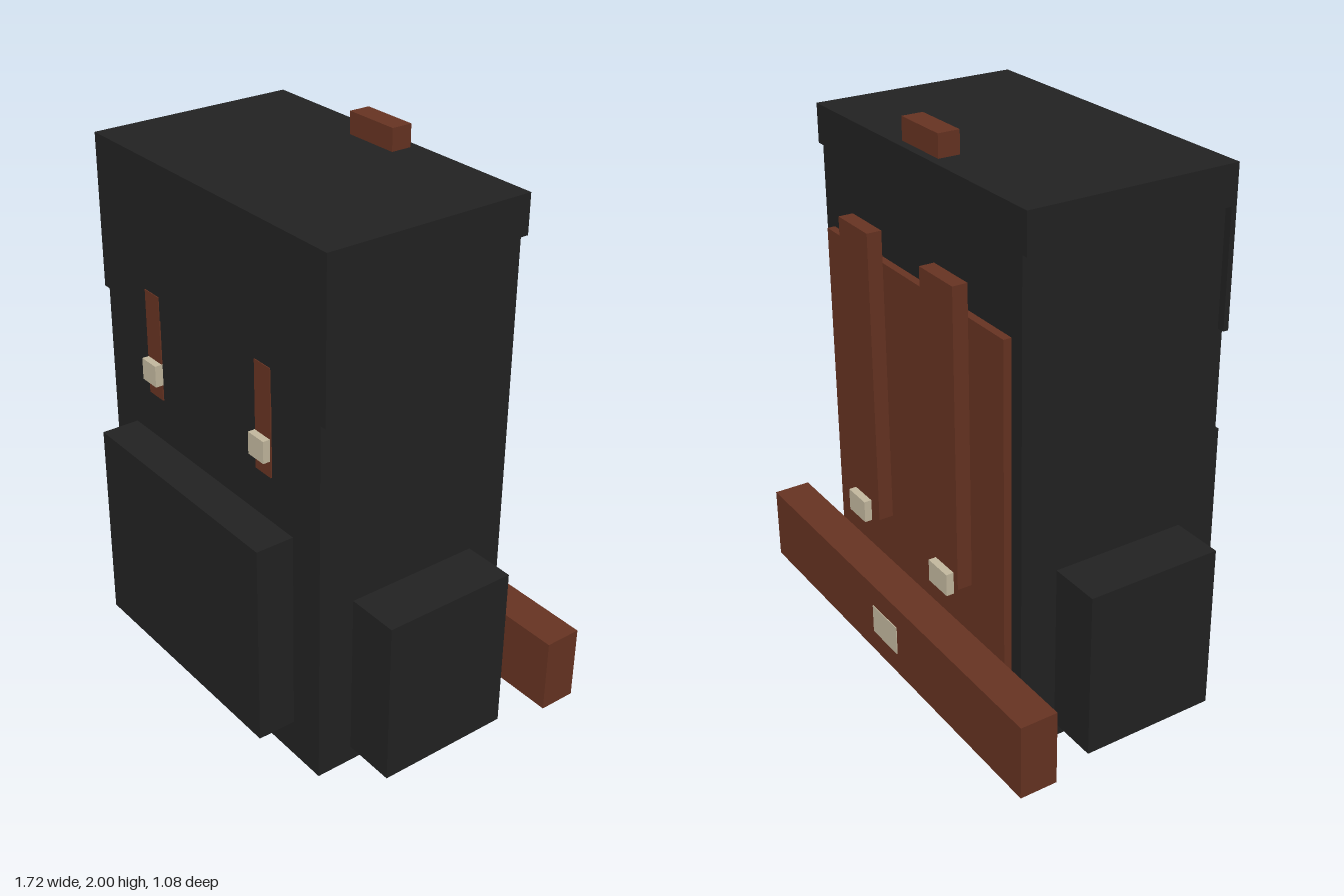
import * as THREE from 'three';

const fabric = new THREE.MeshStandardMaterial({ name: 'black fabric', color: 0x222222 });
const leather = new THREE.MeshStandardMaterial({ name: 'brown leather', color: 0x673322 });
const metal = new THREE.MeshStandardMaterial({ name: 'pale buckle', color: 0xc4b99f });

// Box given by its extents along each axis
function block(name, material, [x0, x1], [y0, y1], [z0, z1]) {
  const mesh = new THREE.Mesh(new THREE.BoxGeometry(x1 - x0, y1 - y0, z1 - z0), material);
  mesh.position.set((x0 + x1) / 2, (y0 + y1) / 2, (z0 + z1) / 2);
  mesh.name = name;
  return mesh;
}

export function createModel() {
  const pack = new THREE.Group();
  pack.name = 'backpack';
  const add = (...args) => pack.add(block(...args));

  // Left and right copies of a part
  const pair = (name, material, [x0, x1], y, z) => {
    add(name + 'Left', material, [x0, x1], y, z);
    add(name + 'Right', material, [-x1, -x0], y, z);
  };

  // Main bag with overhanging lid and front flap
  add('body', fabric, [-0.61, 0.61], [0, 1.78], [-0.373, 0.399]);
  add('lid', fabric, [-0.637, 0.637], [1.78, 1.92], [-0.376, 0.401]);
  add('frontFlap', fabric, [-0.637, 0.637], [1.36, 1.78], [0.381, 0.401]);

  // Pockets
  add('frontPocket', fabric, [-0.47, 0.47], [0.14, 0.89], [0.399, 0.54]);
  pair('sidePocket', fabric, [0.61, 0.803], [0.057, 0.667], [-0.237, 0.263]);

  // Flap closures
  pair('closureStrap', leather, [0.277, 0.36], [1.057, 1.447], [0.396, 0.404]);
  pair('closureBuckle', metal, [0.275, 0.357], [1.117, 1.197], [0.4, 0.43]);

  // Carry handle on the lid
  add('handle', leather, [-0.11, 0.11], [1.92, 2], [-0.345, -0.267]);

  // Padded back, shoulder straps and their buckles
  add('backPad', leather, [-0.555, 0.555], [0.14, 1.5], [-0.402, -0.373]);
  pair('shoulderStrap', leather, [0.166, 0.36], [0.533, 1.613], [-0.456, -0.402]);
  pair('strapBuckle', metal, [0.222, 0.335], [0.505, 0.587], [-0.484, -0.456]);

  // Hip belt with a flat centre buckle
  add('hipBelt', leather, [-0.858, 0.858], [0.057, 0.335], [-0.54, -0.402]);
  add('beltBuckle', metal, [-0.083, 0.083], [0.14, 0.25], [-0.543, -0.538]);

  return pack;
}
